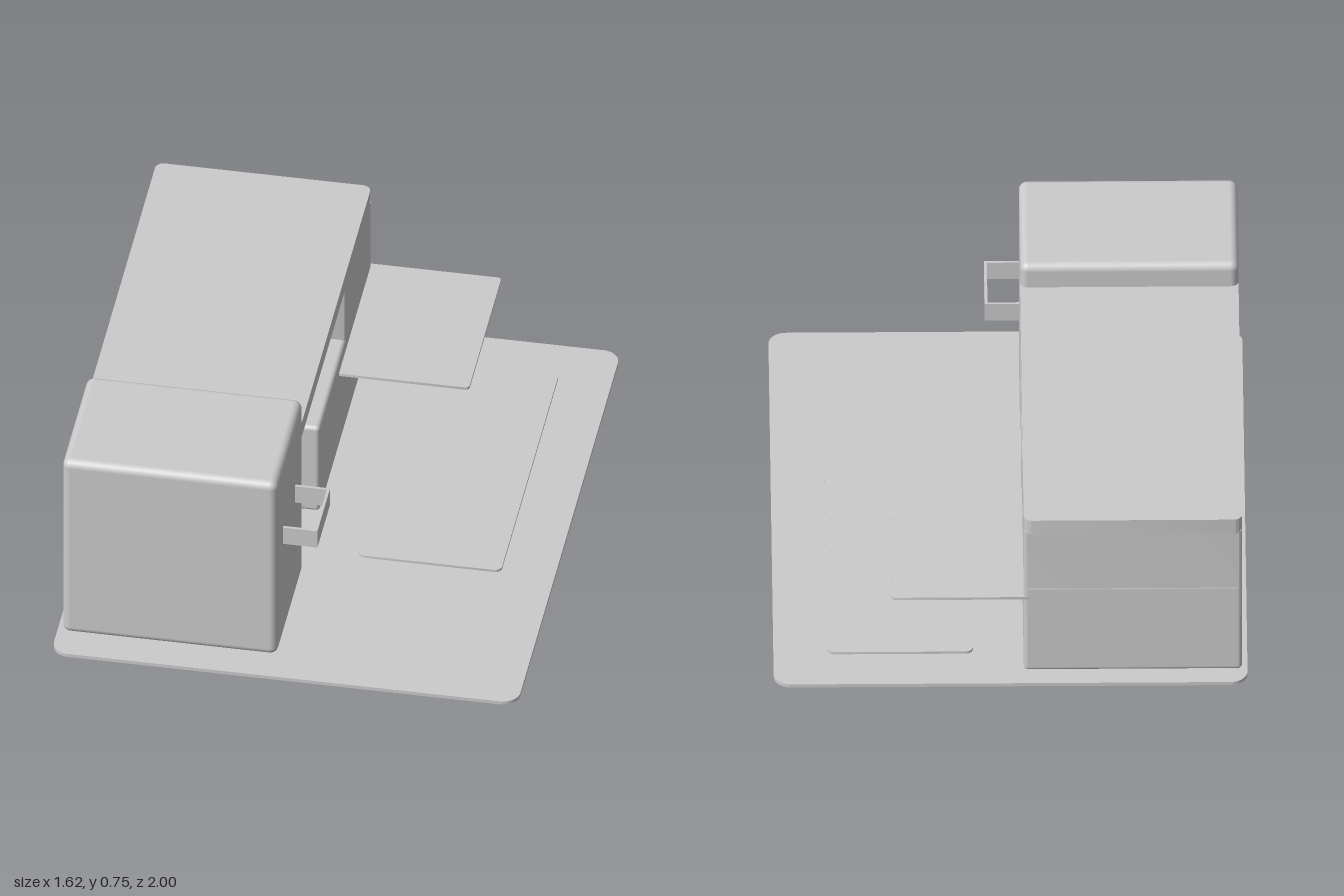
import * as THREE from 'three';
import { RoundedBoxGeometry } from 'three/addons/geometries/RoundedBoxGeometry.js';
import { toCreasedNormals } from 'three/addons/utils/BufferGeometryUtils.js';

const material = new THREE.MeshStandardMaterial({ color: 0xcccccc });

export function createModel() {
  const model = new THREE.Group();

  const add = (name, geometry) => {
    const mesh = new THREE.Mesh(geometry, material);
    mesh.name = name;
    model.add(mesh);
    return mesh;
  };

  // Box with all edges rounded, given by its extents
  const block = (name, [x0, x1], [y0, y1], [z0, z1], radius) =>
    add(name, new RoundedBoxGeometry(x1 - x0, y1 - y0, z1 - z0, 4, radius))
      .position.set((x0 + x1) / 2, (y0 + y1) / 2, (z0 + z1) / 2);

  // Flat slab with rounded vertical corners, given by its extents
  const slab = (name, [x0, x1], [y0, y1], [z0, z1], r) => {
    const s = new THREE.Shape();
    s.absarc(x1 - r, -z0 - r, r, 0, Math.PI / 2);
    s.absarc(x0 + r, -z0 - r, r, Math.PI / 2, Math.PI);
    s.absarc(x0 + r, -z1 + r, r, Math.PI, Math.PI * 1.5);
    s.absarc(x1 - r, -z1 + r, r, Math.PI * 1.5, Math.PI * 2);
    const geometry = new THREE.ExtrudeGeometry(s, { depth: y1 - y0, bevelEnabled: false, curveSegments: 8 });
    geometry.rotateX(-Math.PI / 2).translate(0, y0, 0);
    add(name, toCreasedNormals(geometry, 0.6));
  };

  const width = [-0.792, -0.045];

  // Ground plate and the thin mat lying on it
  slab('basePlate', [-0.81, 0.81], [0, 0.013], [-1, 1], 0.06);
  slab('floorMat', [0.128, 0.625], [0.013, 0.022], [-0.83, 0.29], 0.025);

  // Front tower, low bench, rear block and the roof bridging them
  block('frontTower', width, [0.013, 0.752], [0.39, 0.888], 0.028);
  block('lowBench', width, [0.013, 0.375], [-0.931, 0.065], 0.016);
  slab('rearBlock', width, [0.245, 0.605], [-0.93, -0.435], 0.012);
  slab('roof', width, [0.6, 0.66], [-0.937, 0.43], 0.03);

  // Thin shelf projecting from the rear block
  slab('sideShelf', [-0.07, 0.407], [0.32, 0.33], [-0.932, -0.305], 0.015);

  // U-shaped handle on the tower, open above and below
  const u = new THREE.Shape([
    [-0.06, -0.53], [-0.06, -0.54], [0.065, -0.54], [0.065, -0.765],
    [-0.06, -0.765], [-0.06, -0.775], [0.075, -0.775], [0.075, -0.53],
  ].map(([x, y]) => new THREE.Vector2(x, y)));
  const handle = new THREE.ExtrudeGeometry(u, { depth: 0.07, bevelEnabled: false });
  handle.rotateX(-Math.PI / 2).translate(0, 0.414, 0);
  add('handle', handle);

  return model;
}
